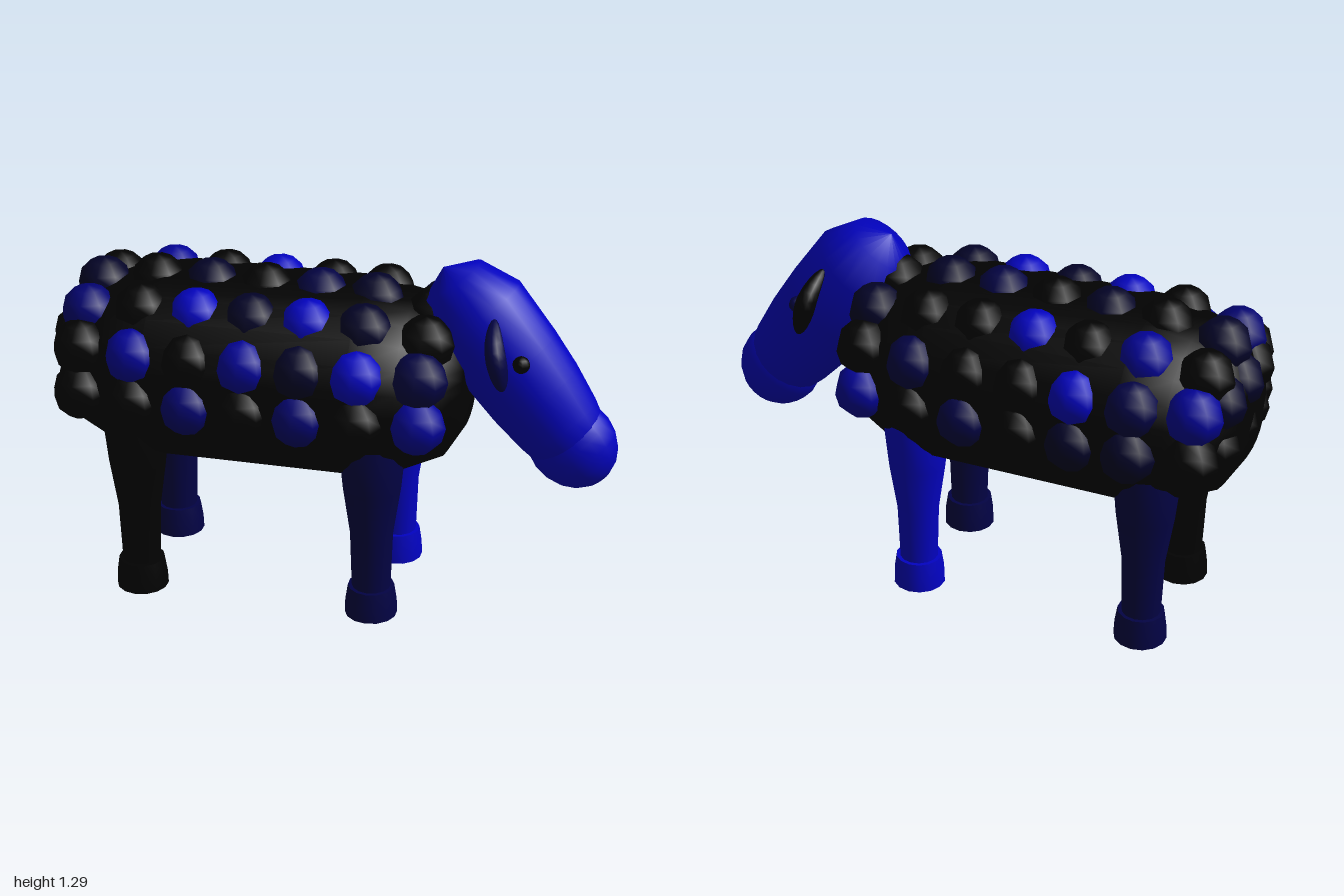
import * as THREE from 'three';

const mat = (name, color) => {
  const m = new THREE.MeshStandardMaterial({ color });
  m.name = name;
  return m;
};

export function createModel() {
  const group = new THREE.Group();
  group.name = 'sheep';
  const black = mat('black', 0x020202);
  const ink = mat('ink', 0x020228);
  const navy = mat('navy', 0x020244);
  const royal = mat('royal blue', 0x020270);
  const cobalt = mat('cobalt', 0x020298);
  const blue = mat('bright blue', 0x0202c2);
  const palette = { k: black, i: ink, n: navy, m: royal, r: cobalt, b: blue };

  const add = (name, geometry, material, x, y, z, parent = group) => {
    const mesh = new THREE.Mesh(geometry, material);
    mesh.name = name;
    mesh.position.set(x, y, z);
    parent.add(mesh);
    return mesh;
  };
  const lathe = (points, sides) =>
    new THREE.LatheGeometry(points.map(([r, y]) => new THREE.Vector2(r, y)), sides);

  // Barrel body lying along x, its round section squared off a little
  const half = [[0, 0.73], [0.42, 0.72], [0.72, 0.66], [0.9, 0.52], [1, 0.36]];
  const profile = [...half.map(([r, y]) => [r, -y]), ...half.slice().reverse()];
  const bodyGeo = lathe(profile, 24);
  bodyGeo.rotateZ(-Math.PI / 2);
  const p = bodyGeo.attributes.position;
  for (let i = 0; i < p.count; i++) {
    const y = p.getY(i), z = p.getZ(i), r = Math.hypot(y, z);
    if (r < 1e-6) continue;
    const k = (Math.abs(y / r) ** 2.5 + Math.abs(z / r) ** 2.5) ** -0.4;
    p.setY(i, y * k);
    p.setZ(i, z * k);
  }
  bodyGeo.scale(1, 0.328, 0.372);
  add('body', bodyGeo, black, -0.245, 0.828, 0);

  // Wool tufts in lengthwise rows: height, sideways offset, colour per column from the rear
  const wool = new THREE.Group();
  wool.name = 'wool';
  group.add(wool);
  const tuftGeo = new THREE.SphereGeometry(0.1, 8, 6);
  const columns = [-0.85, -0.648, -0.45, -0.253, -0.055, 0.142, 0.35];
  const rows = [
    [1.11, 0, 'ikiknik'],
    [1.07, 0.19, 'mkbibik'],
    [1.07, -0.19, 'krkbkki'],
    [0.948, 0.305, 'krkribn'],
    [0.948, -0.305, 'rnbkknk'],
    [0.79, 0.33, 'kkmkmkr'],
    [0.79, -0.33, 'kiiknkr'],
  ];
  for (const [y, z, colours] of rows) {
    columns.forEach((x, i) => {
      const end = i === 0 || i === 6;
      const ty = end && y > 1 ? y - 0.03 : y;
      add('tuft', tuftGeo, palette[colours[i]], x, ty, end ? z * 0.89 : z, wool);
    });
  }
  // Tufts covering the rump
  for (const [x, y, z, c] of [
    [-0.9, 0.96, 0, 'i'], [-0.89, 0.95, 0.15, 'k'], [-0.89, 0.95, -0.15, 'i'],
    [-0.89, 0.8, 0, 'k'], [-0.88, 0.79, 0.16, 'k'], [-0.88, 0.79, -0.16, 'k'],
  ]) add('rumpTuft', tuftGeo, palette[c], x, y, z, wool);

  // Legs and hooves
  const legGeo = lathe([[0.069, 0.1], [0.076, 0.32], [0.102, 0.5], [0.116, 0.65], [0.09, 0.8]], 14);
  const hoofGeo = lathe([[0, 0], [0.094, 0], [0.094, 0], [0.092, 0.05], [0.083, 0.11], [0.083, 0.11], [0, 0.112]], 14);
  for (const [name, x, z, m] of [
    ['frontLeftSide', 0.18, 0.22, navy], ['frontRightSide', 0.18, -0.22, blue],
    ['rearLeftSide', -0.68, 0.22, black], ['rearRightSide', -0.68, -0.22, navy],
  ]) {
    add(name + 'Leg', legGeo, m, x, 0, z);
    add(name + 'Hoof', hoofGeo, m, x, 0, z);
  }

  // Long sloping head with a rounded muzzle set into its lower end
  const headGeo = lathe([
    [0, -0.045], [0.12, 0.01], [0.185, 0.146], [0.184, 0.36],
    [0.176, 0.5], [0.158, 0.64], [0.135, 0.74], [0.08, 0.8], [0, 0.82],
  ], 20);
  headGeo.scale(1, 1, 0.85);
  const muzzleGeo = new THREE.SphereGeometry(1, 20, 10);
  muzzleGeo.scale(0.155, 0.17, 0.125);
  muzzleGeo.translate(0, 0.725, 0);
  for (const [name, geo] of [['head', headGeo], ['muzzle', muzzleGeo]]) {
    add(name, geo, blue, 0.4, 1.22, 0).rotation.z = -2.485;
  }

  // Drooping ears, bent in to the head at the top, and bead eyes
  for (const s of [1, -1]) {
    const side = s > 0 ? 'left' : 'right';
    const earGeo = new THREE.SphereGeometry(1, 12, 12);
    earGeo.scale(0.036, 0.115, 0.041);
    const e = earGeo.attributes.position;
    for (let i = 0; i < e.count; i++) {
      e.setZ(i, e.getZ(i) - s * 0.085 * Math.max(0, e.getY(i) / 0.115) ** 2);
    }
    earGeo.computeVertexNormals();
    earGeo.rotateX(-0.08 * s);
    earGeo.rotateZ(0.24);
    add(side + 'Ear', earGeo, s > 0 ? navy : black, 0.6, 1.035, 0.23 * s);
    add(side + 'Eye', new THREE.SphereGeometry(0.03, 10, 8), s > 0 ? black : navy, 0.675, 0.99, 0.154 * s);
  }
  return group;
}
